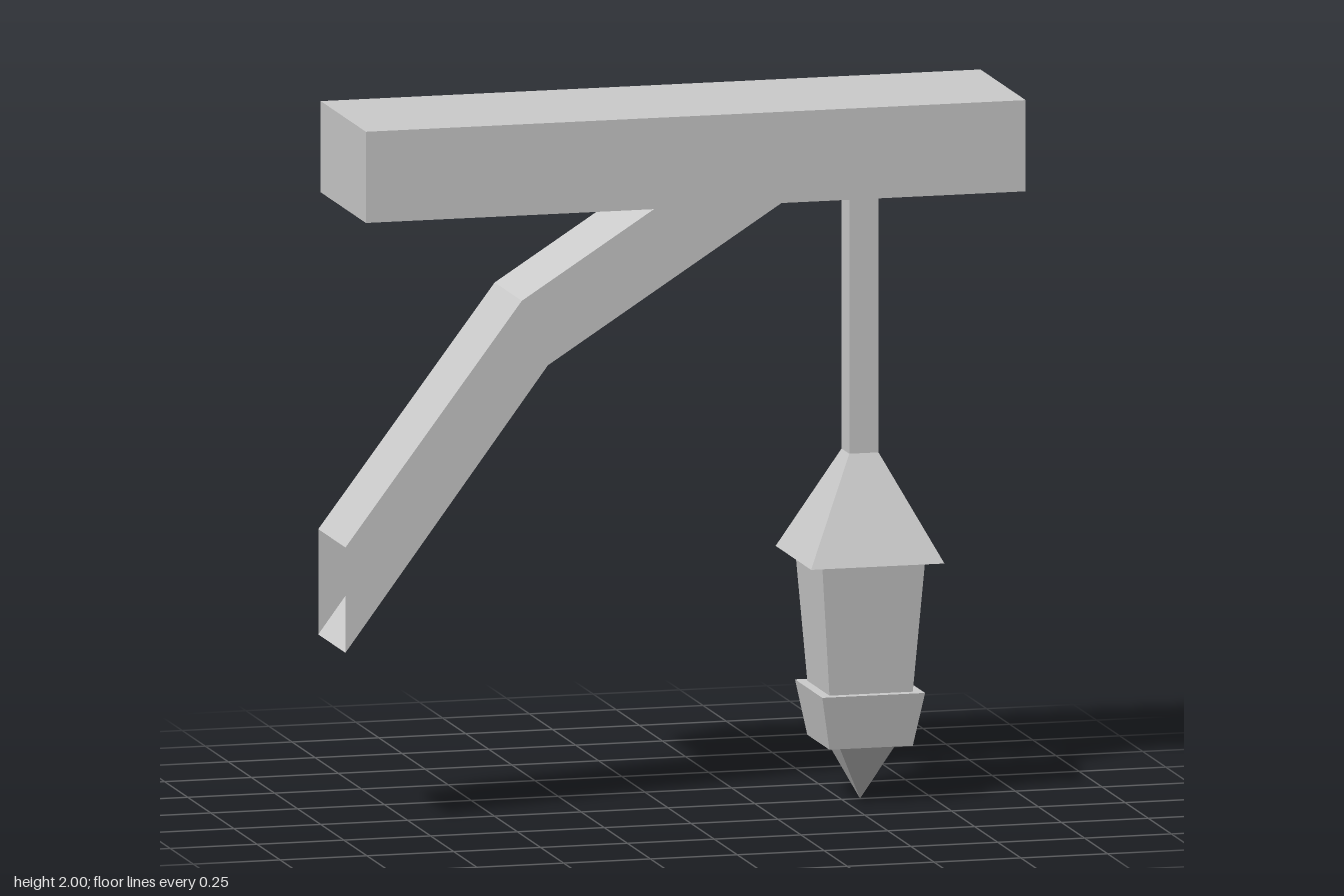
import * as THREE from 'three';

export function createModel() {
  const group = new THREE.Group();
  const grey = new THREE.MeshStandardMaterial({ color: 0xcccccc, flatShading: true, side: THREE.DoubleSide });
  grey.name = 'pale grey';

  const add = (name, geometry, x, y, z = 0) => {
    const mesh = new THREE.Mesh(geometry, grey);
    mesh.name = name;
    mesh.position.set(x, y, z);
    group.add(mesh);
  };

  // Square tapered block given by its half widths at top and bottom
  const taper = (name, x, topHalf, bottomHalf, y1, y0) => {
    const g = new THREE.CylinderGeometry(topHalf * Math.SQRT2, bottomHalf * Math.SQRT2, y1 - y0, 4);
    g.rotateY(Math.PI / 4);
    add(name, g, x, (y0 + y1) / 2);
  };

  // Overhead beam
  add('beam', new THREE.BoxGeometry(1.9, 0.258, 0.49), 0.015, 1.871);

  // Bent brace: a square tube with open ends, as [top x, top y, bottom x, bottom y]
  const stations = [
    [-0.05, 1.742, 0.317, 1.742],
    [-0.46, 1.482, -0.385, 1.296],
    [-0.968, 0.808, -0.968, 0.51],
  ];
  const half = 0.147;
  const positions = [];
  const index = [];
  stations.forEach(([tx, ty, bx, by], i) => {
    positions.push(tx, ty, -half, tx, ty, half, bx, by, half, bx, by, -half);
    if (i === stations.length - 1) return;
    for (let j = 0; j < 4; j++) {
      const a = i * 4 + j;
      const b = i * 4 + (j + 1) % 4;
      index.push(a, a + 4, b, b, a + 4, b + 4);
    }
  });
  const brace = new THREE.BufferGeometry();
  brace.setAttribute('position', new THREE.Float32BufferAttribute(positions, 3));
  brace.setIndex(index);
  const braceFlat = brace.toNonIndexed();
  braceFlat.computeVertexNormals();
  add('brace', braceFlat, 0, 0);

  // Hanging lantern
  const lx = 0.553;
  taper('hangingPost', lx, 0.042, 0.042, 1.742, 0.98);
  taper('lanternRoof', lx, 0.042, 0.192, 0.985, 0.69);
  taper('lanternBody', lx, 0.148, 0.12, 0.69, 0.318);
  taper('lanternCup', lx, 0.148, 0.12, 0.318, 0.165);
  taper('lanternTip', lx, 0.082, 0, 0.165, 0);

  return group;
}
